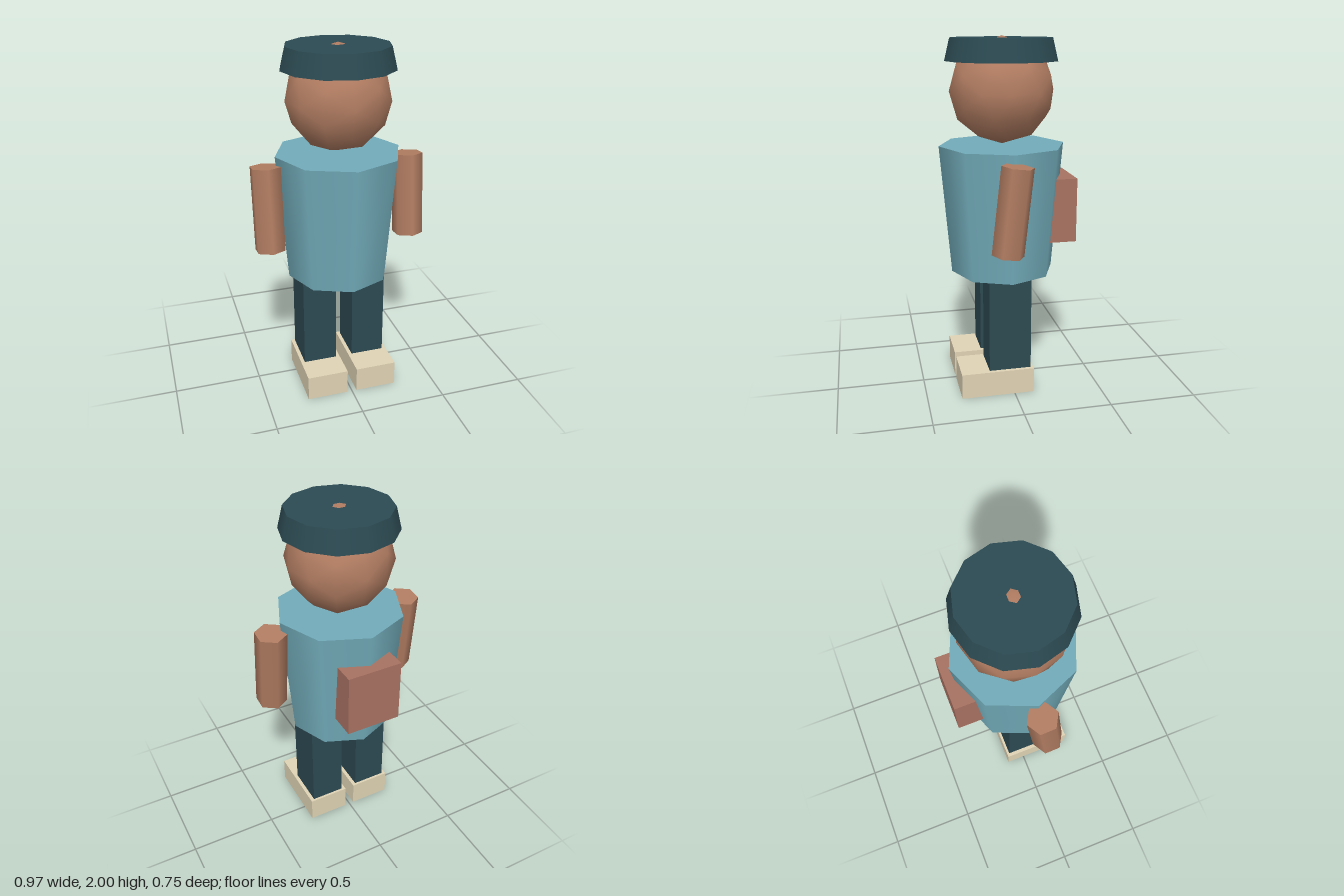
import * as THREE from 'three';

const material = (color) => new THREE.MeshStandardMaterial({ color });

export function createModel() {
  const model = new THREE.Group();
  model.name = 'figure';

  const skin = material(0xb27d62);
  const shirt = material(0x72acba);
  const dark = material(0x2c4a52);
  const cream = material(0xe0d4b5);
  const leather = material(0xa87262);

  const add = (name, geometry, mat, x, y, z) => {
    const mesh = new THREE.Mesh(geometry, mat);
    mesh.name = name;
    mesh.position.set(x, y, z);
    model.add(mesh);
    return mesh;
  };

  // Tapered eight-sided torso, low-poly head and twelve-sided cap
  add('torso', new THREE.CylinderGeometry(0.356, 0.295, 0.73, 8), shirt, 0, 1.045, 0.02);
  add('head', new THREE.IcosahedronGeometry(0.293, 1), skin, 0, 1.708, 0.02);
  add('cap', new THREE.CylinderGeometry(0.285, 0.315, 0.122, 12), dark, 0, 1.929, 0.02);

  // Pack on the back, partly sunk into the torso
  add('backpack', new THREE.BoxGeometry(0.316, 0.365, 0.22), leather, 0, 1.045, -0.267);

  // Mirrored limbs
  for (const [side, s] of [['left', 1], ['right', -1]]) {
    const arm = add(side + 'Arm', new THREE.CylinderGeometry(0.088, 0.088, 0.475, 6), skin, s * 0.41, 1.125, 0.047);
    arm.rotation.x = -0.11;
    add(side + 'Leg', new THREE.BoxGeometry(0.195, 0.59, 0.24), dark, s * 0.147, 0.425, 0.023);
    add(side + 'Shoe', new THREE.BoxGeometry(0.238, 0.147, 0.417), cream, s * 0.147, 0.0735, 0.097);
  }

  return model;
}
